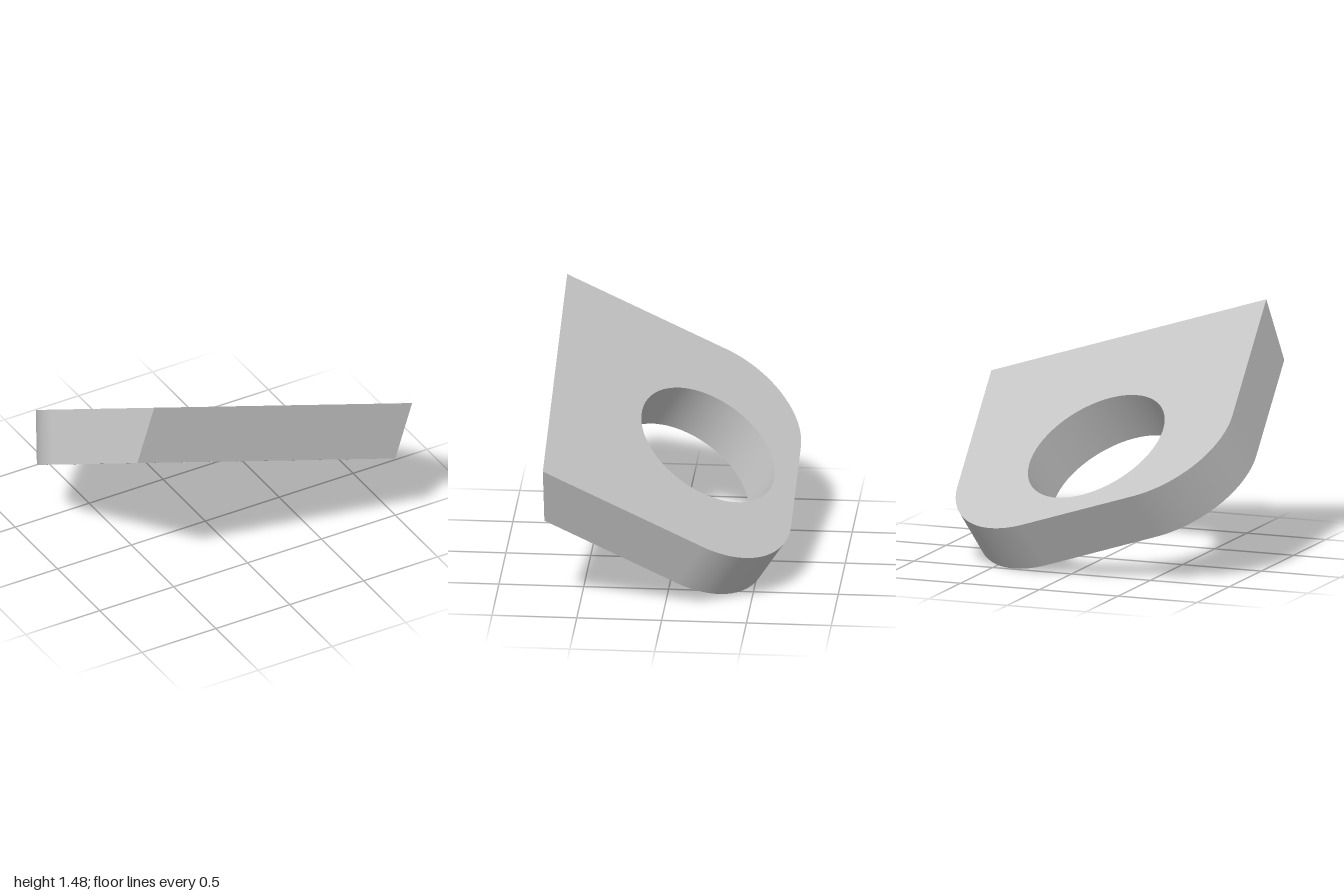
import * as THREE from 'three';
import { toCreasedNormals } from 'three/addons/utils/BufferGeometryUtils.js';

const HALF_WIDTH = 0.9165, FRONT = -1.027, BACK = 0.59; // measured from the hole centre
const CORNER = 0.55, HOLE = 0.446, THICKNESS = 0.323;
const TILT = Math.PI / 6, ROLL = THREE.MathUtils.degToRad(17.8);

export function createModel() {
  const model = new THREE.Group();
  const grey = new THREE.MeshStandardMaterial({ color: 0xc4c4c4 });
  grey.name = 'plain grey';

  // Plate outline: square front, two rounded back corners, round hole
  const outline = new THREE.Shape();
  outline.moveTo(-HALF_WIDTH, FRONT);
  outline.lineTo(HALF_WIDTH, FRONT);
  outline.lineTo(HALF_WIDTH, BACK - CORNER);
  outline.absarc(HALF_WIDTH - CORNER, BACK - CORNER, CORNER, 0, Math.PI / 2, false);
  outline.absarc(CORNER - HALF_WIDTH, BACK - CORNER, CORNER, Math.PI / 2, Math.PI, false);
  outline.closePath();
  const hole = new THREE.Path();
  hole.absarc(0, 0, HOLE, 0, Math.PI * 2, true);
  outline.holes.push(hole);

  const solid = new THREE.ExtrudeGeometry(outline, { depth: THICKNESS, bevelEnabled: false, curveSegments: 32 });
  solid.translate(0, 0, -THICKNESS);

  // Mitre the front end so that it stands upright once the plate is tilted
  const p = solid.attributes.position;
  for (let i = 0; i < p.count; i++) {
    if (p.getY(i) < FRONT + 0.001) p.setY(i, FRONT - p.getZ(i) * Math.tan(TILT));
  }

  const plate = new THREE.Mesh(toCreasedNormals(solid, 0.5), grey);
  plate.name = 'tiltedPlate';
  plate.rotation.set(-Math.PI / 2 - TILT, 0, -ROLL, 'ZYX');
  plate.position.set(-0.03, 0.711, -0.189);
  model.add(plate);
  return model;
}
